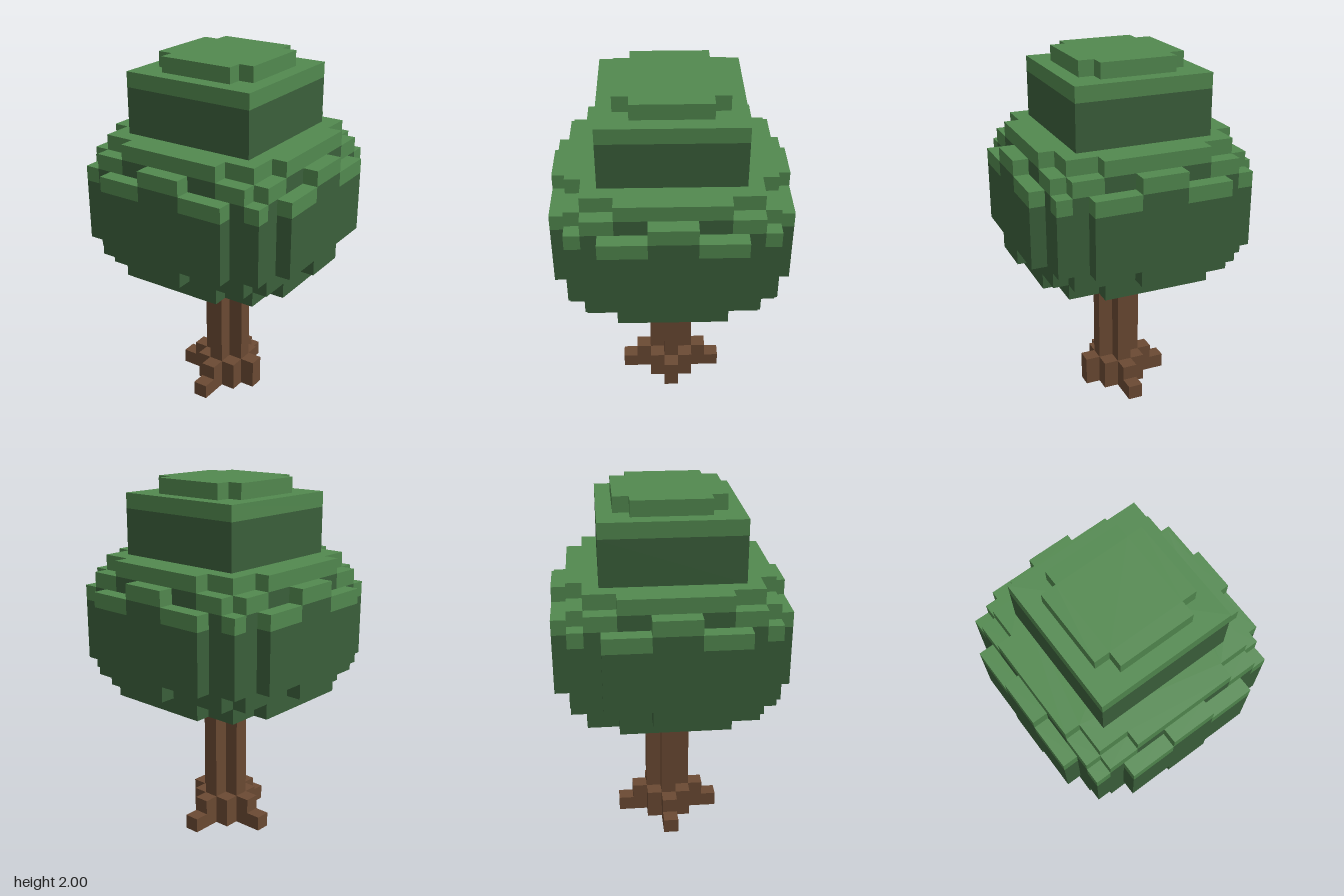
import * as THREE from 'three';

const U = 1 / 12; // one block; the tree is 24 blocks tall

export function createModel() {
  const leafLight = new THREE.MeshStandardMaterial({ name: 'leafLight', color: 0x52894f });
  const leafDark = new THREE.MeshStandardMaterial({ name: 'leafDark', color: 0x3b603b });
  const bark = new THREE.MeshStandardMaterial({ name: 'bark', color: 0x6b4a33 });

  const tree = new THREE.Group();
  tree.name = 'blockTree';

  // Horizontal slab: the outline of one corner is repeated by four quarter turns
  function slab(name, material, y0, y1, corner) {
    const points = [];
    for (let q = 0; q < 4; q++) {
      for (const [x, z] of corner) {
        let p = [x, z];
        for (let i = 0; i < q; i++) p = [p[1], -p[0]];
        points.push(new THREE.Vector2(p[0] * U, p[1] * U));
      }
    }
    const geometry = new THREE.ExtrudeGeometry(new THREE.Shape(points), {
      depth: (y1 - y0) * U, bevelEnabled: false,
    });
    geometry.rotateX(-Math.PI / 2);
    geometry.translate(0, y0 * U, 0);
    const mesh = new THREE.Mesh(geometry, material);
    mesh.name = name;
    tree.add(mesh);
  }

  // Box given by its limits in blocks, turned about the trunk by quarter turns
  function block(name, material, [x0, x1], [y0, y1], [z0, z1], turn = 0) {
    const geometry = new THREE.BoxGeometry((x1 - x0) * U, (y1 - y0) * U, (z1 - z0) * U);
    geometry.translate((x0 + x1) / 2 * U, (y0 + y1) / 2 * U, (z0 + z1) / 2 * U);
    geometry.rotateY(turn * Math.PI / 2);
    const mesh = new THREE.Mesh(geometry, material);
    mesh.name = name;
    tree.add(mesh);
  }

  // Corner outlines
  const cross = [[0.5, 1.5], [0.5, 0.5], [1.5, 0.5]];
  const rootPlan = [[0.5, 2.5], [0.5, 1.5], [1.5, 1.5], [1.5, 0.5], [2.5, 0.5]];
  const stepped = [[3.5, 6.5], [3.5, 5.5], [5.5, 5.5], [5.5, 3.5], [6.5, 3.5]];
  const notched = [[1.5, 7.5], [1.5, 6.5], [5.5, 6.5], [5.5, 5.5], [6.5, 5.5], [6.5, 1.5], [7.5, 1.5]];
  const full = [[4.5, 7.5], [4.5, 6.5], [6.5, 6.5], [6.5, 4.5], [7.5, 4.5]];
  const upper = [[4.5, 4.5]];
  const cap = [[2.5, 3.5], [2.5, 2.5], [3.5, 2.5]];

  // Trunk and roots; the +x root has no low tip
  slab('rootBase', bark, 0, 2, rootPlan);
  slab('trunk', bark, 2, 10, cross);
  for (const turn of [0, 2, 3]) {
    block('rootTip', bark, [-0.5, 0.5], [0, 1], [2.5, 3.5], turn);
  }

  // Crown, from the bottom up
  slab('crownUnderside', leafDark, 10, 11, stepped);
  slab('crownLower', leafDark, 11, 12, notched);
  slab('crownMiddle', leafDark, 12, 16, full);
  slab('crownShoulder', leafDark, 16, 17, notched);
  slab('crownNeck', leafDark, 17, 18, stepped);
  slab('crownRim', leafLight, 18, 19, stepped);
  slab('upperCrown', leafDark, 19, 22, upper);
  slab('upperCrownRim', leafLight, 22, 23, upper);
  slab('crownCap', leafLight, 23, 24, cap);

  // Light tops of the panels, ledges and corners on all four sides
  for (let turn = 0; turn < 4; turn++) {
    block('panelMiddleTop', leafLight, [-1.5, 1.5], [17, 18], [6.5, 7.5], turn);
    block('cornerTop', leafLight, [5.5, 6.5], [16, 17], [5.5, 6.5], turn);
    for (const s of [-1, 1]) {
      const span = (a, b) => (s > 0 ? [a, b] : [-b, -a]);
      block('panelSideTop', leafLight, span(1.5, 4.5), [16, 17], [6.5, 7.5], turn);
      block('ledgeTop', leafLight, span(3.5, 5.5), [17, 18], [5.5, 6.5], turn);
    }
  }
  return tree;
}
